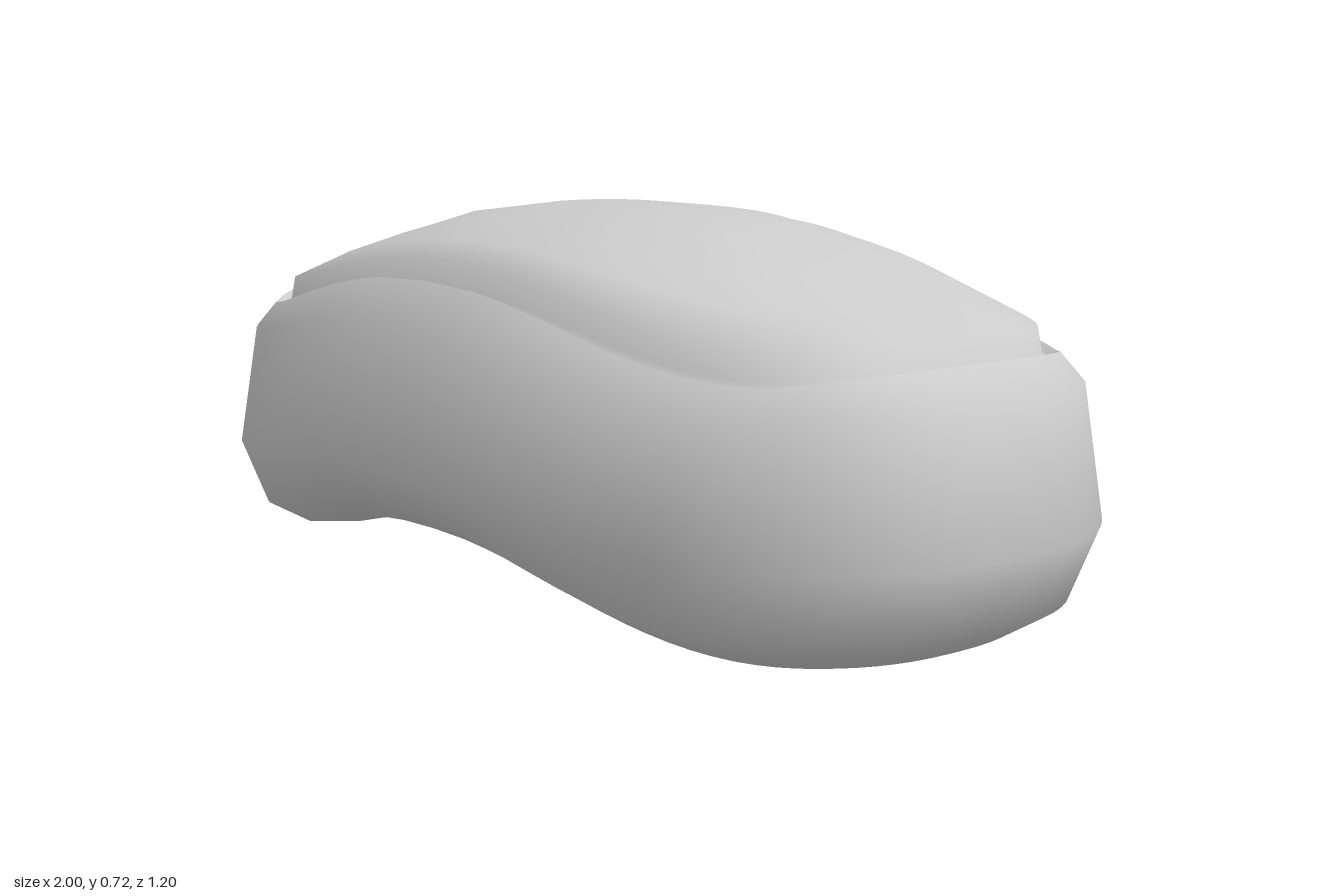
import * as THREE from 'three';
import { toCreasedNormals } from 'three/addons/utils/BufferGeometryUtils.js';

const SEGMENTS = 96;
const material = new THREE.MeshStandardMaterial({ color: 0xcccccc });

// How far the body droops towards its ends: 0 in the middle, 1 at |x| = 0.78
const droop = (x) => Math.pow(THREE.MathUtils.smoothstep(Math.abs(x), 0, 0.78), 1.25);

// Stacks rounded-rectangle rings, listed from the bottom up.
// Each ring: [half width, half depth, squareness, height at x = 0, drop at the ends, end lift]
function ringSurface(rings) {
  const positions = [];
  const indices = [];
  for (const [a, b, n, y, drop, lift = 0] of rings) {
    for (let j = 0; j < SEGMENTS; j++) {
      const t = (j / SEGMENTS) * Math.PI * 2;
      const c = Math.cos(t);
      const s = Math.sin(t);
      const x = a * Math.sign(c) * Math.pow(Math.abs(c), 2 / n);
      const z = b * Math.sign(s) * Math.pow(Math.abs(s), 2 / n);
      const rise = lift * Math.max(0, (Math.abs(x) - 0.78) / 0.22);
      positions.push(x, y - drop * droop(x) + rise, z);
    }
  }
  for (let i = 0; i < rings.length - 1; i++) {
    for (let j = 0; j < SEGMENTS; j++) {
      const k = (j + 1) % SEGMENTS;
      const p = i * SEGMENTS + j;
      const q = i * SEGMENTS + k;
      const r = p + SEGMENTS;
      const s = q + SEGMENTS;
      if (rings[i][0] > 0) indices.push(p, r, q);
      if (rings[i + 1][0] > 0) indices.push(q, r, s);
    }
  }
  const geometry = new THREE.BufferGeometry();
  geometry.setAttribute('position', new THREE.Float32BufferAttribute(positions, 3));
  geometry.setIndex(indices);
  return toCreasedNormals(geometry, 1.1);
}

function addPart(group, name, rings) {
  const mesh = new THREE.Mesh(ringSurface(rings), material);
  mesh.name = name;
  group.add(mesh);
}

export function createModel() {
  const group = new THREE.Group();
  group.name = 'archedCushionBody';

  // Arched shell: hollow underside, bulging wall, raised rim and inner groove
  addPart(group, 'shell', [
    [0, 0, 2.5, 0.125, 0.125],
    [0.2, 0.1, 2.5, 0.125, 0.125],
    [0.4, 0.2, 2.5, 0.125, 0.125],
    [0.6, 0.29, 2.5, 0.125, 0.125],
    [0.76, 0.38, 2.5, 0.126, 0.125],
    [0.87, 0.47, 2.5, 0.14, 0.125],
    [0.95, 0.55, 2.5, 0.19, 0.125],
    [1.0, 0.6, 2.5, 0.27, 0.07],
    [0.96, 0.555, 2.6, 0.52, 0.085, 0.02],
    [0.89, 0.48, 3.2, 0.6, 0.115, 0.04],
    [0.87, 0.458, 3.3, 0.575, 0.1, 0.03],
  ]);

  // Domed pad set into the rim
  addPart(group, 'pad', [
    [0.87, 0.458, 3.3, 0.575, 0.1, 0.03],
    [0.856, 0.443, 3.4, 0.588, 0.1, 0.03],
    [0.845, 0.432, 3.5, 0.635, 0.1, 0.02],
    [0.72, 0.36, 3.2, 0.664, 0.082],
    [0.6, 0.29, 3, 0.686, 0.08],
    [0.4, 0.195, 2.8, 0.706, 0.05],
    [0.2, 0.1, 2.5, 0.716, 0.03],
    [0, 0, 2.5, 0.72, 0],
  ]);

  return group;
}
